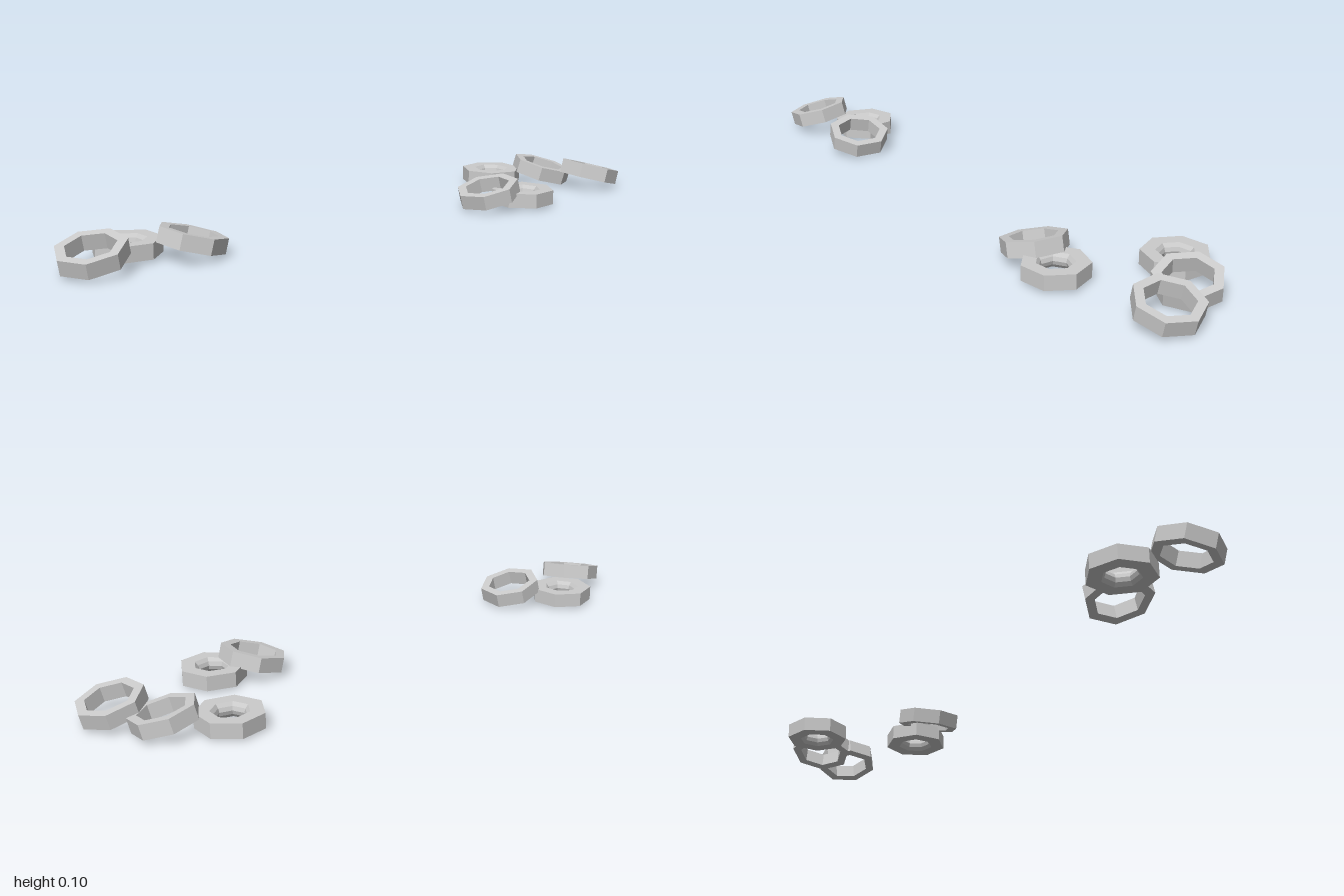
import * as THREE from 'three';

const SIDES = 7;
const R = 0.099; // outer corner radius
const H = 0.0225; // half thickness
const rad = THREE.MathUtils.degToRad;

// Closed profiles (radius, height), outer bottom -> outer top -> hole -> back
const thinProfile = [[R, -H], [R, H], [0.071, H], [0.071, -H], [R, -H]];
const thickProfile = [
  [R, -H], [R, H], [0.056, H], [0.047, 0.012], [0.043, 0],
  [0.047, -0.012], [0.056, -H], [R, -H],
];

const material = new THREE.MeshStandardMaterial({ color: 0xcccccc, flatShading: true });

// Seven-sided ring with one corner at the given angle from +x towards +z
function ringGeometry(profile, corner) {
  const points = profile.map(([r, y]) => new THREE.Vector2(r, y));
  return new THREE.LatheGeometry(points, SIDES, rad(90 - corner)).toNonIndexed();
}

// lean: horizontal direction of the raised edge, or null when lying flat
function addRing(parent, name, profile, [x, y, z], corner, lean) {
  const mesh = new THREE.Mesh(ringGeometry(profile, corner), material);
  mesh.geometry.computeVertexNormals();
  mesh.name = name;
  mesh.position.set(x, y, z);
  if (lean) {
    const axis = new THREE.Vector3(-lean[1], 0, lean[0]).normalize();
    mesh.quaternion.setFromAxisAngle(axis, rad(14.5));
  }
  parent.add(mesh);
}

export function createModel() {
  const model = new THREE.Group();
  model.name = 'scatteredRings';

  // Thick rings with a waisted hole, lying flat
  const flat = [
    [[-0.77, 0.034, 0.09], 13],
    [[0.545, 0.034, 0.11], 49],
    [[0.65, 0.034, -0.21], 21],
  ];
  flat.forEach(([p, corner], i) => addRing(model, `flatThickRing${i + 1}`, thickProfile, p, corner, null));

  // Thin rings leaning on their neighbours
  const leaning = [
    [[-0.905, 0.058, 0.205], 13, [0.75, -0.66]],
    [[-0.618, 0.055, 0.18], 26, [-1, 0]],
    [[0.418, 0.056, 0.1], 29, [1, 0]],
    [[0.807, 0.05, -0.135], 26, [-0.8, -0.6]],
    [[0.902, 0.057, 0], 41, [-1, 0]],
  ];
  leaning.forEach(([p, corner, lean], i) => addRing(model, `leaningThinRing${i + 1}`, thinProfile, p, corner, lean));

  return model;
}
